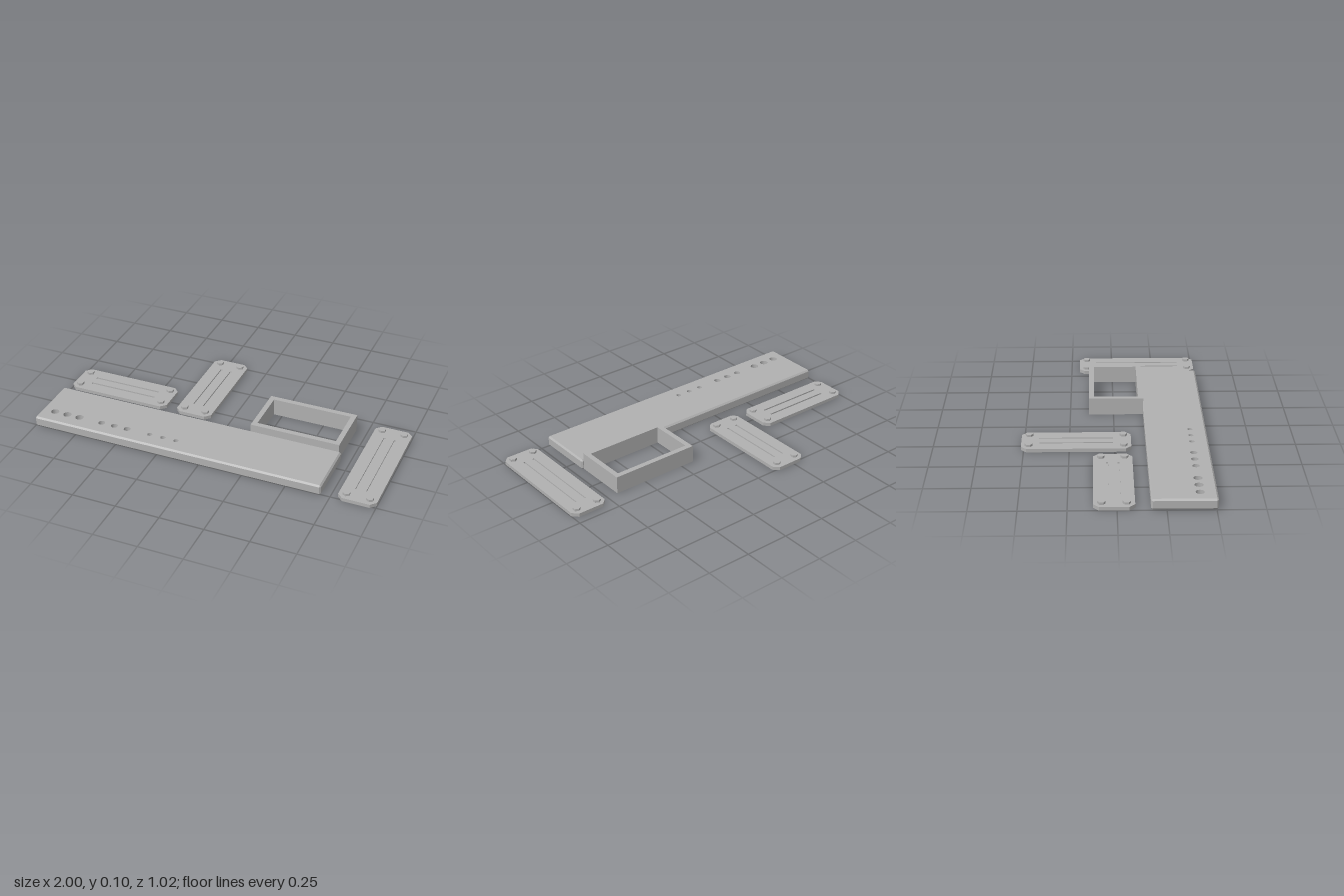
import * as THREE from 'three';

const grey = new THREE.MeshStandardMaterial({ color: 0xb0b0b0 });
grey.name = 'plain grey';

// Rectangle with cut corners, centred on the origin
function cutRect(w, d, c) {
  const x = w / 2, y = d / 2;
  return new THREE.Shape([
    [x, c - y], [x, y - c], [x - c, y], [c - x, y],
    [-x, y - c], [-x, c - y], [c - x, -y], [x - c, -y],
  ].map(([a, b]) => new THREE.Vector2(a, b)));
}

function rectHole(cx, cy, w, d) {
  const x = w / 2, y = d / 2;
  return new THREE.Path([[-x, -y], [-x, y], [x, y], [x, -y]]
    .map(([a, b]) => new THREE.Vector2(cx + a, cy + b)));
}

// Extrudes a shape upwards from y = 0
function slab(shape, height, steps = 1) {
  const geo = new THREE.ExtrudeGeometry(shape, { depth: height, steps, bevelEnabled: false, curveSegments: 16 });
  return geo.rotateX(-Math.PI / 2);
}

function add(parent, name, geo, x = 0, y = 0, z = 0) {
  const mesh = new THREE.Mesh(geo, grey);
  mesh.name = name;
  mesh.position.set(x, y, z);
  parent.add(mesh);
  return mesh;
}

// Long board with chamfered edges and three sizes of drilled holes
function makeBoard(parent) {
  const w = 1.7, d = 0.34, h = 0.06, c = 0.009, cx = -0.15, cz = 0.34;
  const shape = cutRect(w, d, c);
  const sets = [[0.023, [-0.92, -0.842, -0.765]], [0.019, [-0.625, -0.546, -0.467]], [0.014, [-0.328, -0.249, -0.17]]];
  for (const [r, xs] of sets) {
    for (const x of xs) {
      shape.holes.push(new THREE.Path().absarc(x - cx, cz - 0.42, r, 0, Math.PI * 2, true));
    }
  }
  const geo = slab(shape, h, 3);
  const p = geo.attributes.position;
  const levels = [0, c, h - c, h];
  for (let i = 0; i < p.count; i++) {
    const k = Math.round(p.getY(i) / h * 3);
    p.setY(i, levels[k]);
    if (k === 0 || k === 3) {
      p.setX(i, THREE.MathUtils.clamp(p.getX(i), c - w / 2, w / 2 - c));
      p.setZ(i, THREE.MathUtils.clamp(p.getZ(i), c - d / 2, d / 2 - c));
    }
  }
  geo.computeVertexNormals();
  add(parent, 'drilledBoard', geo, cx, 0, cz);
}

// Open rectangular frame behind the board
function makeFrame(parent) {
  const shape = cutRect(0.515, 0.315, 0);
  shape.holes.push(rectHole(0, 0, 0.457, 0.255));
  add(parent, 'openFrame', slab(shape, 0.1), 0.428, 0, 0.015);
}

// Flat plate with two grooves and a peg in each corner, long side along x
function makePlate(parent, name, length, x, z, turned) {
  const w = 0.212, cut = 0.03, base = 0.012, top = 0.02, inset = 0.042;
  const plate = new THREE.Group();
  plate.name = name;
  plate.position.set(x, 0, z);
  if (turned) plate.rotation.y = Math.PI / 2;
  add(plate, 'plateBase', slab(cutRect(length, w, cut), base));
  const upper = cutRect(length, w, cut);
  for (const s of [-1, 1]) upper.holes.push(rectHole(0, s * 0.03, length - 0.2, 0.011));
  add(plate, 'groovedTop', slab(upper, top - base), 0, base, 0);
  const peg = new THREE.CylinderGeometry(0.021, 0.021, 0.015, 6).toNonIndexed();
  if (turned) peg.rotateY(Math.PI / 2);
  peg.computeVertexNormals();
  for (const sx of [-1, 1]) {
    for (const sz of [-1, 1]) {
      add(plate, 'peg', peg, sx * (length / 2 - inset), 0.0255, sz * (w / 2 - inset));
    }
  }
  parent.add(plate);
}

export function createModel() {
  const model = new THREE.Group();
  model.name = 'boardKit';
  makeBoard(model);
  makeFrame(model);
  makePlate(model, 'leftPlate', 0.71, 0.893, 0.155, true);
  makePlate(model, 'rearPlate', 0.606, -0.222, -0.212, true);
  makePlate(model, 'rightPlate', 0.606, -0.697, -0.014, false);
  return model;
}
